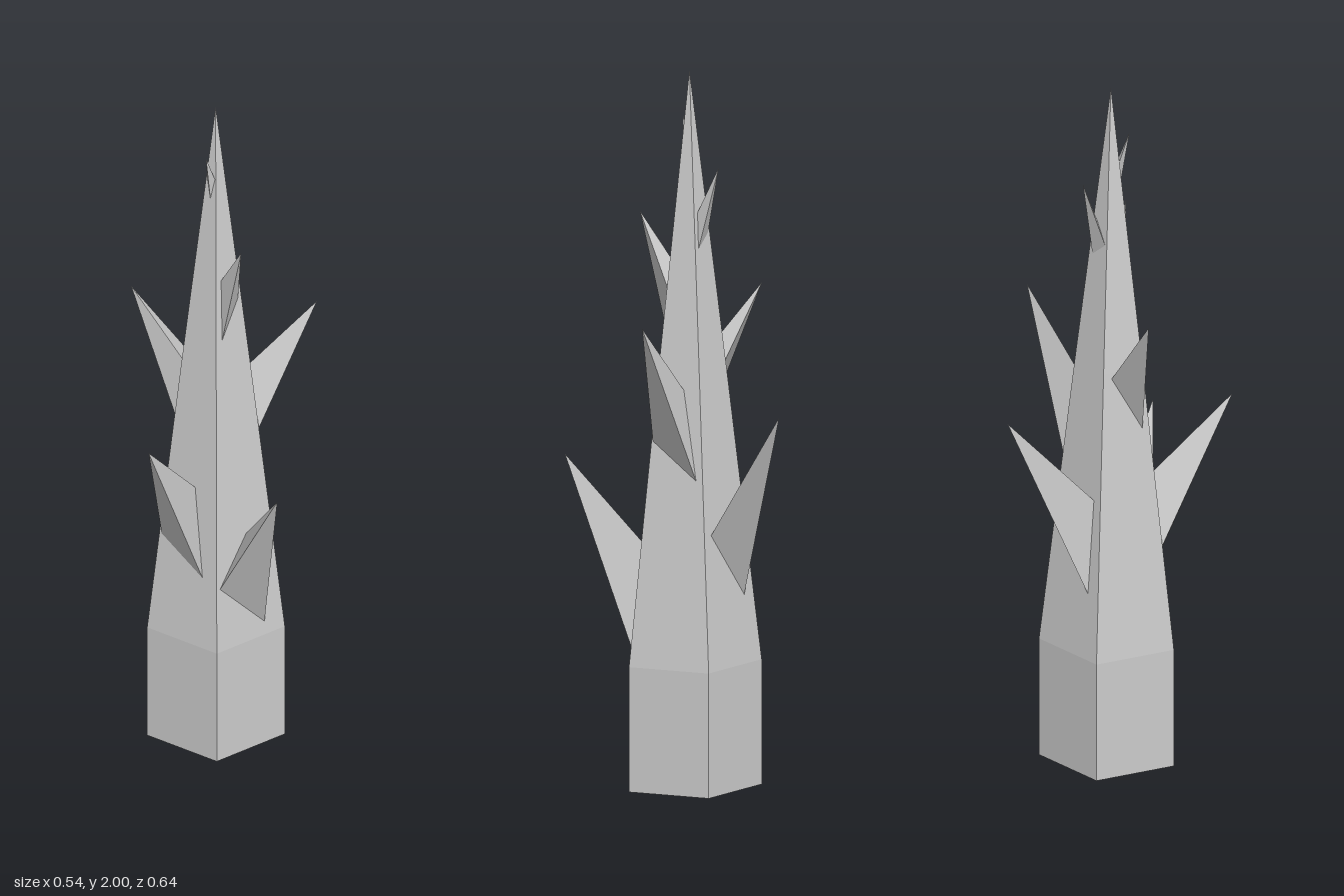
import * as THREE from 'three';
import { ConvexGeometry } from 'three/addons/geometries/ConvexGeometry.js';

// Each spike: tip, then the three points where its edges enter the trunk
const SPIKES = [
  { name: 'frontSpike', pts: [[-0.03, 1.055, 0.32], [-0.13, 0.65, 0.115], [0.012, 0.565, 0.125], [-0.03, 0.83, 0.1]] },
  { name: 'lowerLeftSpike', pts: [[0.27, 0.91, 0.135], [0.065, 0.54, 0.115], [0.125, 0.4, -0.012], [0.085, 0.68, 0.018]] },
  { name: 'lowerBackSpike', pts: [[-0.213, 1.08, -0.32], [-0.065, 0.72, -0.152], [-0.157, 0.81, -0.075], [-0.176, 0.54, -0.095]] },
  { name: 'middleRightSpike', pts: [[-0.27, 1.375, 0.062], [-0.13, 1.16, -0.025], [-0.105, 1.19, 0.05], [-0.118, 1.0, 0.062]] },
  { name: 'middleBackSpike', pts: [[0.15, 1.33, -0.225], [-0.028, 0.87, -0.14], [-0.005, 1.12, -0.095], [0.073, 0.975, -0.057]] },
  { name: 'upperLeftSpike', pts: [[0.083, 1.6, 0.04], [0.025, 1.4, -0.027], [0.002, 1.47, 0.02], [0.018, 1.3, 0.035]] },
  { name: 'upperBackSpike', pts: [[-0.102, 1.74, -0.1], [-0.052, 1.5, -0.067], [-0.052, 1.6, -0.053], [-0.088, 1.53, -0.032]] },
  { name: 'topSpike', pts: [[-0.038, 1.86, 0.036], [-0.055, 1.78, 0.006], [-0.029, 1.78, 0.006], [-0.04, 1.71, 0.011]] },
];

// Three-sided spike, with its base pushed a little way into the trunk
function spikeGeometry(pts, sink = 1.1) {
  const [tip, ...base] = pts.map((p) => new THREE.Vector3(...p));
  return new ConvexGeometry([tip, ...base.map((b) => tip.clone().lerp(b, sink))]);
}

export function createModel() {
  const group = new THREE.Group();
  const material = new THREE.MeshStandardMaterial({ color: 0xcccccc, flatShading: true });

  // Five-sided trunk: straight foot, then a long taper to a point
  const profile = [[0, 0], [0.198, 0], [0.198, 0.35], [0.1, 1.18], [0, 2]].map((p) => new THREE.Vector2(...p));
  const trunk = new THREE.Mesh(new THREE.LatheGeometry(profile, 5, Math.PI), material);
  trunk.name = 'trunk';
  trunk.position.set(-0.042, 0, -0.016);
  group.add(trunk);

  // Spikes growing up and outwards around the trunk
  for (const { name, pts } of SPIKES) {
    const spike = new THREE.Mesh(spikeGeometry(pts), material);
    spike.name = name;
    group.add(spike);
  }
  return group;
}
